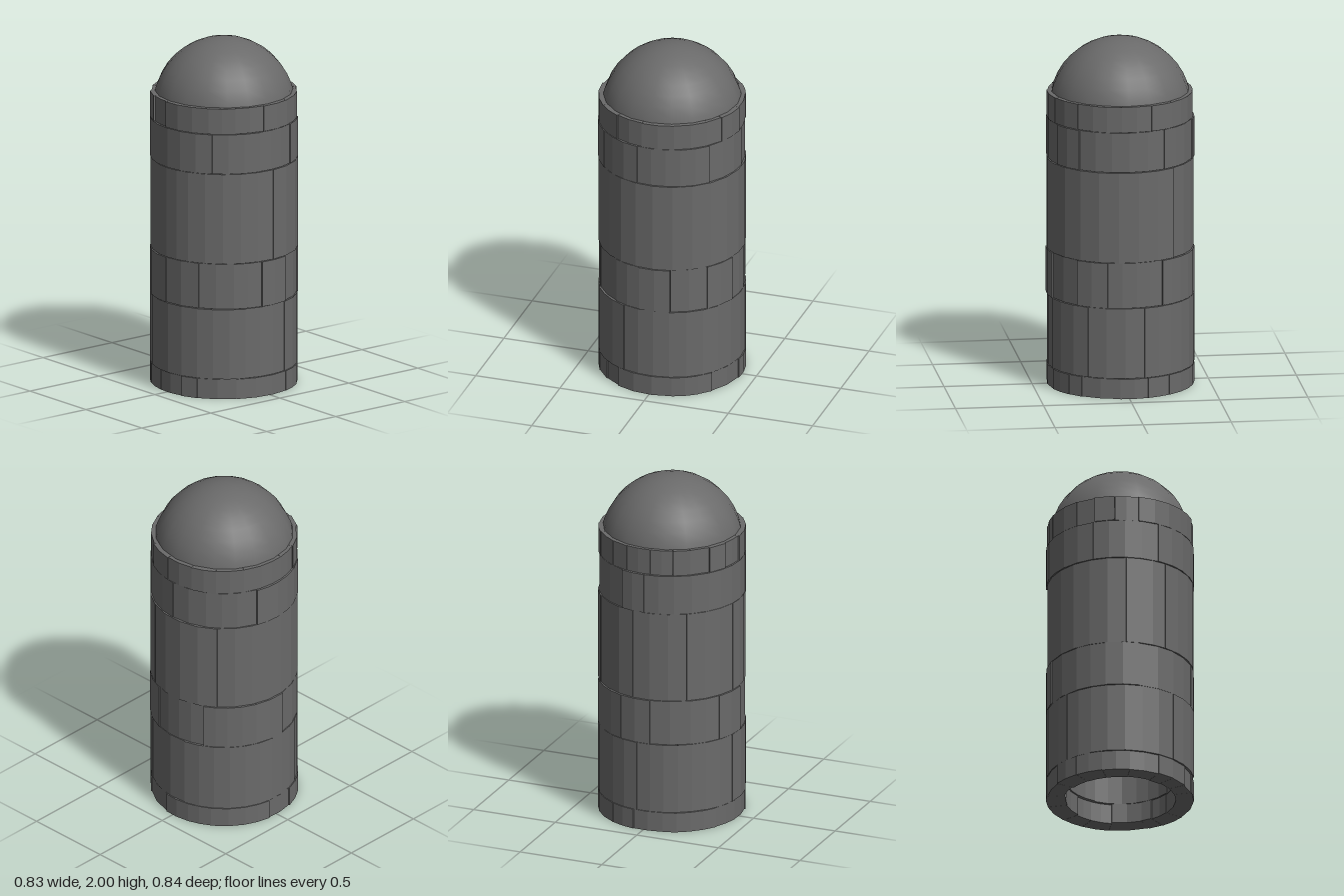
import * as THREE from 'three';

// Courses of curved blocks: bottom, top, seam angles in degrees (from +z towards +x)
const COURSES = [
  [0, 0.115, [-44, -29, 18, 39, 51, 83, 105, 124, 151, 172, 196, 218, 240, 262, 286, 300]],
  [0.118, 0.523, [-22, 16, 57, 102, 151, 175, 208, 231, 258, 300]],
  [0.526, 0.787, [-59, -31, -8, 17, 47, 73, 96, 118, 137, 160, 186, 218, 243, 270]],
  [0.79, 1.312, [3, 66, 129, 171, 215, 259, 292]],
  [1.315, 1.544, [-48, -10, 25, 49, 90, 120, 145, 161, 181, 205, 233, 258, 285]],
  [1.547, 1.695, [-51, -30, -6, 20, 47, 61, 84, 108, 128, 150, 165, 186, 204, 218, 234, 250, 269]],
];

function makeRandom(seed) {
  return () => {
    seed = (seed * 16807) % 2147483647;
    return seed / 2147483647;
  };
}

// One ring-sector block, faceted along its arc
function blockGeometry(startDeg, endDeg, inner, outer, height) {
  const a0 = THREE.MathUtils.degToRad(startDeg);
  const a1 = THREE.MathUtils.degToRad(endDeg);
  const steps = Math.ceil((endDeg - startDeg) / 16);
  const points = [];
  const add = (r, a) => points.push(new THREE.Vector2(r * Math.sin(a), -r * Math.cos(a)));
  for (let i = 0; i <= steps; i++) add(outer, a0 + ((a1 - a0) * i) / steps);
  for (let i = steps; i >= 0; i--) add(inner, a0 + ((a1 - a0) * i) / steps);
  const geometry = new THREE.ExtrudeGeometry(new THREE.Shape(points), {
    depth: height, bevelEnabled: false,
  });
  return geometry.rotateX(-Math.PI / 2);
}

export function createModel() {
  const model = new THREE.Group();
  model.name = 'domedTower';
  const stone = new THREE.MeshStandardMaterial({ color: 0x6a6a6a });
  const random = makeRandom(4711);

  // Hollow wall, each block pushed slightly in or out
  COURSES.forEach(([bottom, top, seams], c) => {
    const course = new THREE.Group();
    course.name = `wallCourse${c + 1}`;
    seams.forEach((start, i) => {
      const end = i + 1 < seams.length ? seams[i + 1] : seams[0] + 360;
      const outer = 0.408 + random() * 0.012;
      const inner = 0.3 + random() * 0.02;
      const block = new THREE.Mesh(
        blockGeometry(start, end - 0.15, inner, outer, top - bottom), stone);
      block.name = `block${i + 1}`;
      block.position.y = bottom;
      course.add(block);
    });
    model.add(course);
  });

  // Round dome sunk into the top course
  const dome = new THREE.Mesh(new THREE.SphereGeometry(0.402, 20, 20), stone);
  dome.name = 'dome';
  dome.position.y = 1.598;
  model.add(dome);

  return model;
}
